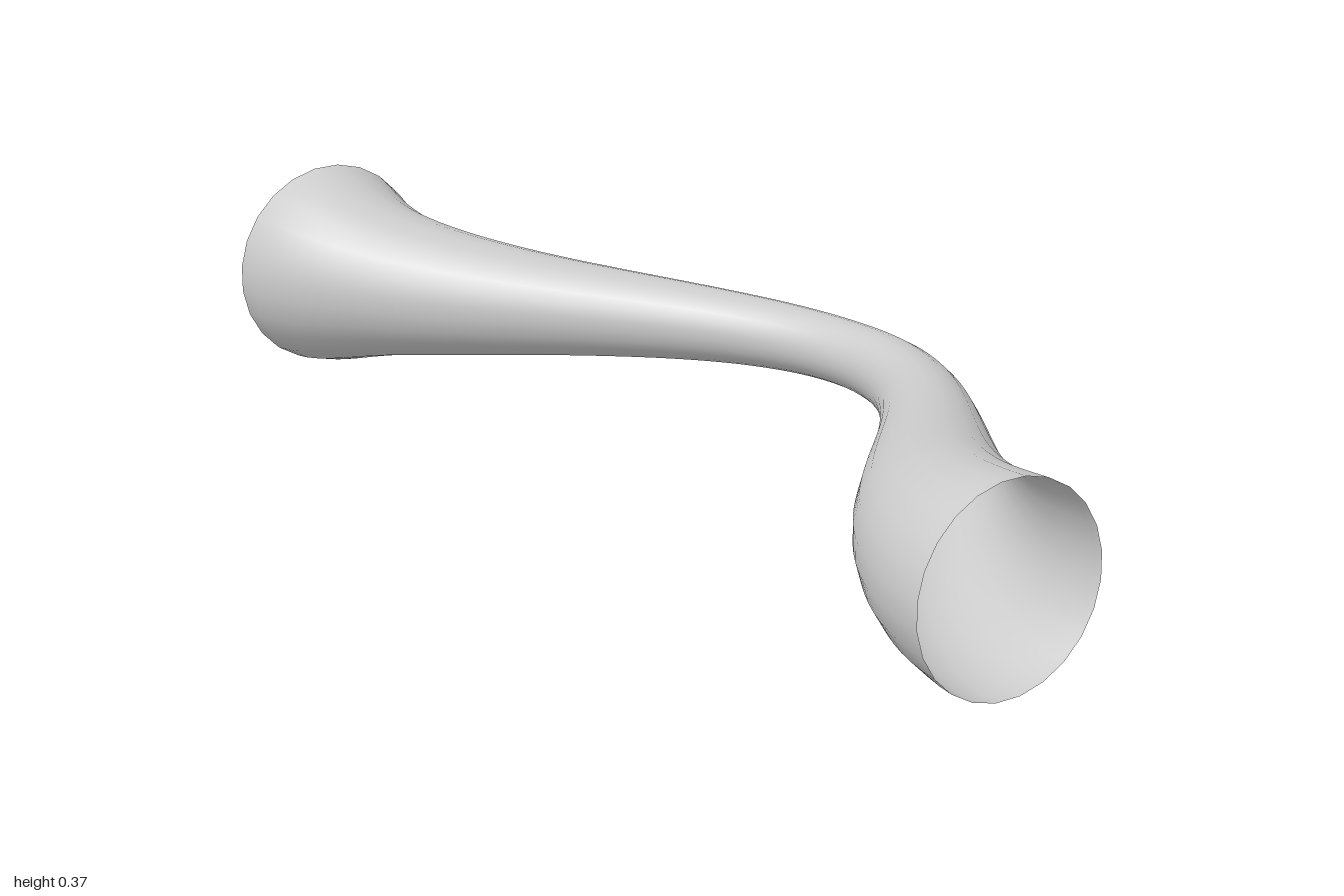
import * as THREE from 'three';

const SIDES = 24, STEPS = 80;
const CENTRE_Y = 0.184;
const BEND_X = 0.04, BEND_Z = -0.298, END_Z = 0.171;

// Radius at x = -1, -0.8 ... 1: a narrow waist with a flared mouth at each end
const radii = [0.184, 0.132, 0.098, 0.075, 0.061, 0.057, 0.066, 0.086, 0.116, 0.15, 0.175];
const radiusCurve = new THREE.SplineCurve(radii.map((r, i) => new THREE.Vector2(i * 0.2 - 1, r)));

// Centre line: one smooth swing backwards, level at both mouths
function centreLine(x) {
  const span = x < BEND_X ? 1 + BEND_X : 1 - BEND_X;
  const a = Math.PI * (x - BEND_X) / span;
  const half = (END_Z - BEND_Z) / 2;
  return { z: BEND_Z + half * (1 - Math.cos(a)), slope: half * Math.sin(a) * Math.PI / span };
}

function createTubeGeometry() {
  const positions = [], indices = [];
  for (let i = 0; i <= STEPS; i++) {
    const x = -1 + 2 * i / STEPS;
    const { z, slope } = centreLine(x);
    const r = radiusCurve.getPoint(i / STEPS).y / Math.cos(Math.PI / SIDES);
    const len = Math.hypot(1, slope);
    // Ring square to the centre line
    for (let j = 0; j < SIDES; j++) {
      const a = 2 * Math.PI * (j + 0.5) / SIDES;
      const side = r * Math.cos(a);
      positions.push(x - side * slope / len, CENTRE_Y + r * Math.sin(a), z + side / len);
    }
  }
  for (let i = 0; i < STEPS; i++) {
    for (let j = 0; j < SIDES; j++) {
      const k = (j + 1) % SIDES;
      const a = i * SIDES + j, b = i * SIDES + k;
      const c = a + SIDES, d = b + SIDES;
      indices.push(a, c, b, b, c, d);
    }
  }
  const geometry = new THREE.BufferGeometry();
  geometry.setAttribute('position', new THREE.Float32BufferAttribute(positions, 3));
  geometry.setIndex(indices);
  geometry.computeVertexNormals();
  return geometry;
}

export function createModel() {
  const group = new THREE.Group();
  group.name = 'curvedFlaredTube';
  // Open, thin-walled tube
  const material = new THREE.MeshStandardMaterial({ color: 0xcccccc, side: THREE.DoubleSide });
  const tube = new THREE.Mesh(createTubeGeometry(), material);
  tube.name = 'tubeWall';
  group.add(tube);
  return group;
}
